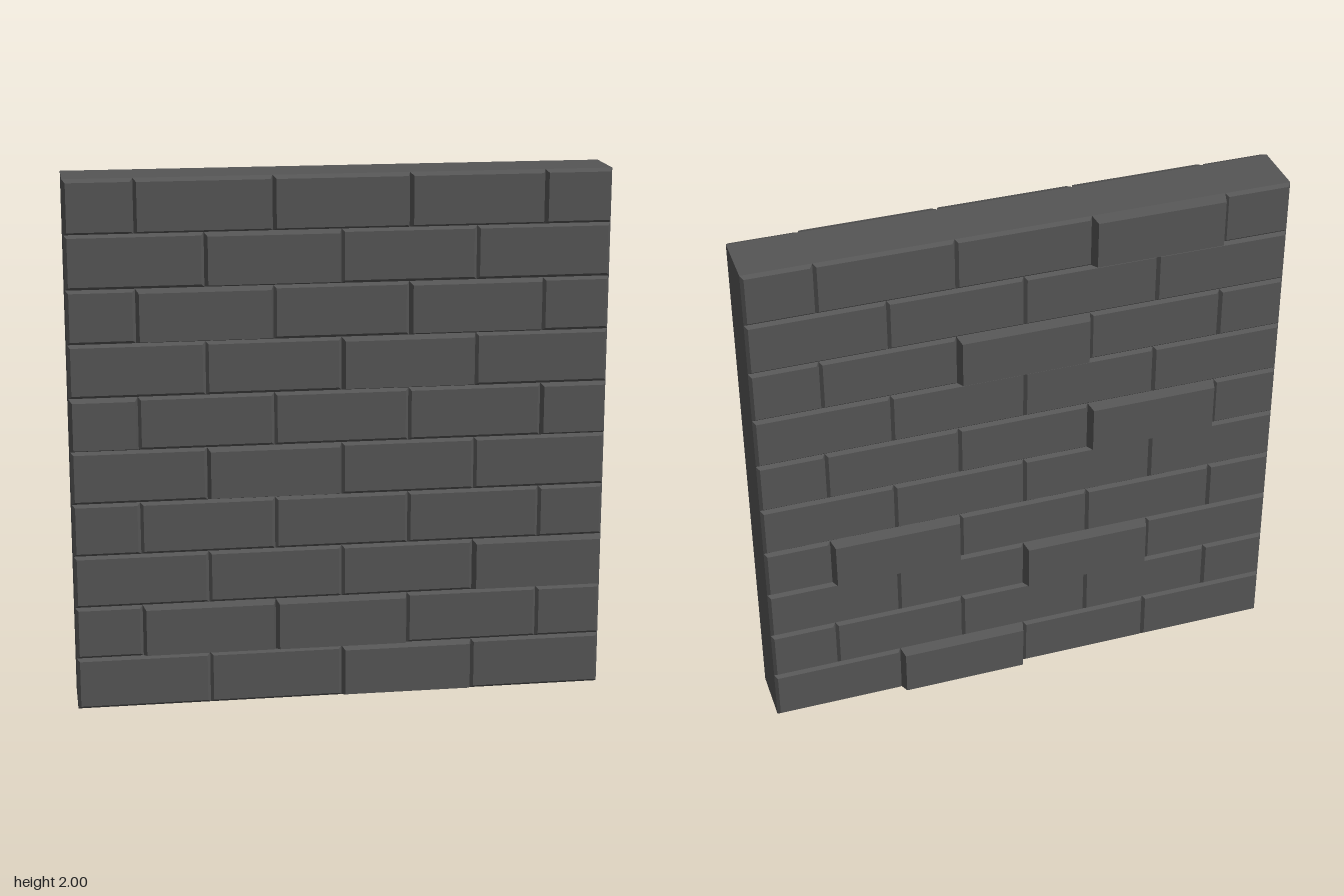
import * as THREE from 'three';

const ROWS = 10, ROW_H = 0.2, CORE = 0.105, INSET = 0.011;
const FLUSH = 0.118;

// Bricks standing proud of the wall, keyed by "row:left edge", with their face depth
const frontProud = {
  '9:-1': 0.13, '9:-0.75': 0.135, '9:-0.25': 0.135, '9:0.25': 0.135, '9:0.75': 0.128,
  '8:-0.5': 0.143,
  '7:-0.75': 0.147, '7:0.25': 0.138,
  '6:0': 0.143,
  '5:-1': 0.137, '5:0.75': 0.128,
  '4:-0.5': 0.14,
  '2:0.5': 0.143,
  '1:-0.75': 0.145, '1:-0.25': 0.147,
  '0:0': 0.138,
};
const backProud = {
  '9:-0.75': 0.148, '7:-0.25': 0.147, '5:-0.75': 0.147,
  '3:0.25': 0.148, '2:-0.5': 0.147, '0:0': 0.147,
};

// Brick face whose sides slope inwards from the core to the outer face
function brickGeometry(w, h, depth) {
  const g = new THREE.BoxGeometry(w, h, depth);
  const p = g.attributes.position;
  for (let i = 0; i < p.count; i++) {
    if (p.getZ(i) > 0) {
      p.setX(i, p.getX(i) - Math.sign(p.getX(i)) * INSET);
      p.setY(i, p.getY(i) - Math.sign(p.getY(i)) * INSET);
    }
  }
  g.translate(0, 0, CORE + depth / 2);
  g.computeVertexNormals();
  return g;
}

export function createModel() {
  const wall = new THREE.Group();
  wall.name = 'brickWall';
  const stone = new THREE.MeshStandardMaterial({ color: 0x555555 });
  stone.name = 'dark grey stone';

  // Solid core, visible at the ends, top and bottom and in the joints
  const core = new THREE.Mesh(new THREE.BoxGeometry(2, 2, CORE * 2), stone);
  core.name = 'core';
  core.position.y = 1;
  wall.add(core);

  // Running-bond courses on both sides
  for (const side of ['front', 'back']) {
    const bricks = new THREE.Group();
    bricks.name = side + 'Bricks';
    const proud = side === 'front' ? frontProud : backProud;
    for (let row = 0; row < ROWS; row++) {
      const edges = row % 2 ? [-1, -0.75, -0.25, 0.25, 0.75, 1] : [-1, -0.5, 0, 0.5, 1];
      for (let i = 0; i < edges.length - 1; i++) {
        const face = proud[row + ':' + edges[i]] ?? FLUSH;
        const brick = new THREE.Mesh(
          brickGeometry(edges[i + 1] - edges[i], ROW_H, face - CORE), stone);
        brick.name = side + 'Brick';
        brick.position.set((edges[i] + edges[i + 1]) / 2, (row + 0.5) * ROW_H, 0);
        if (side === 'back') brick.rotation.y = Math.PI;
        bricks.add(brick);
      }
    }
    wall.add(bricks);
  }
  return wall;
}
